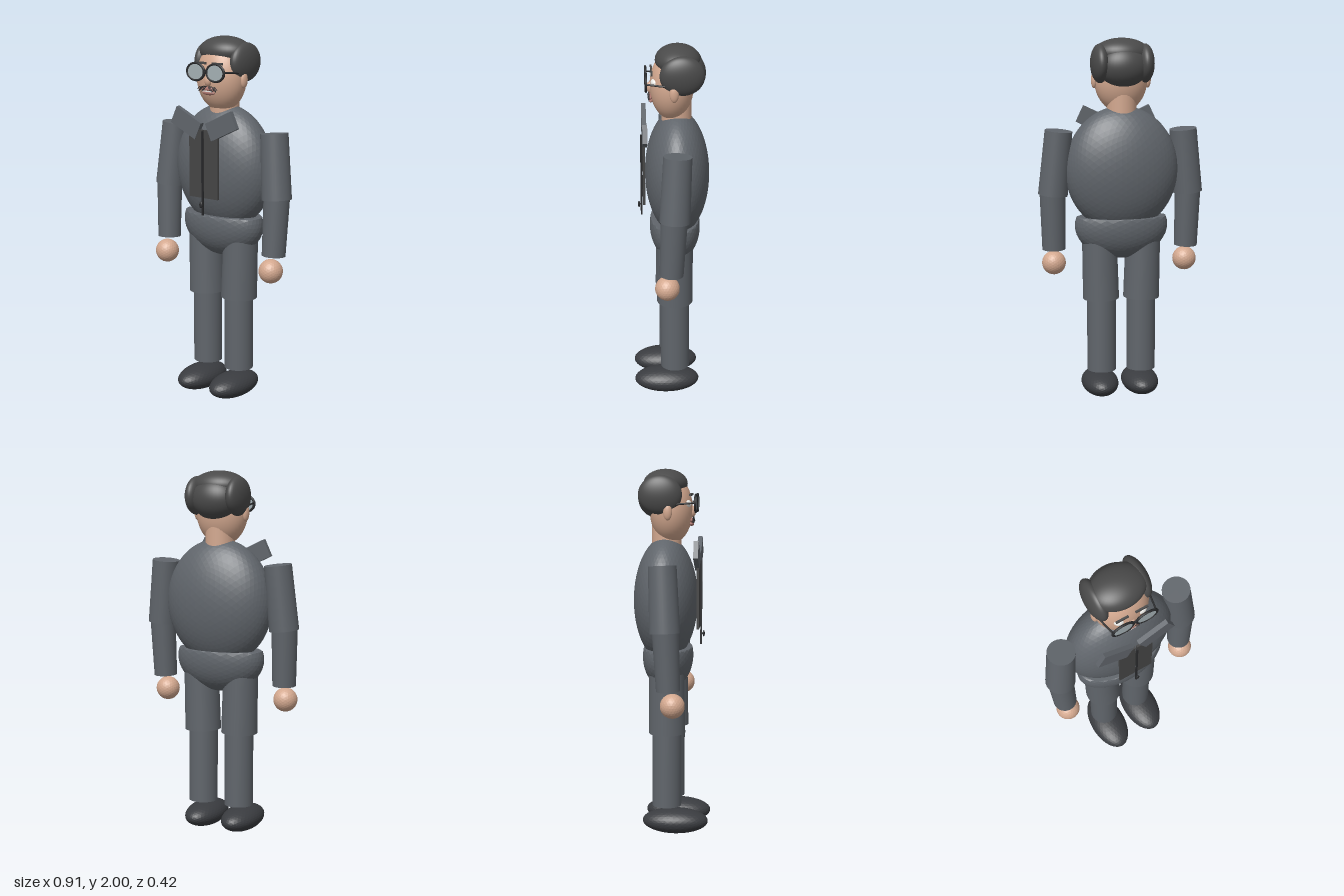
import * as THREE from 'three';

const material = (color, opts = {}) => new THREE.MeshStandardMaterial({ color, ...opts });

export function createModel() {
  const model = new THREE.Group();
  model.name = 'figure';

  const suit = material(0x60656b);
  const suitFacet = material(0x60656b, { flatShading: true });
  const skin = material(0xd3a88f);
  const skinFacet = material(0xd3a88f, { flatShading: true });
  const hair = material(0x4a4a4a);
  const shoe = material(0x3a3c40, { flatShading: true });
  const shirt = material(0x454545);
  const dark = material(0x2a2b2d);
  const glass = material(0xa4b0b4);
  const white = material(0xe8e8e4);
  const lip = material(0xa8746c);

  function add(name, geometry, mat, x = 0, y = 0, z = 0, parent = model) {
    const mesh = new THREE.Mesh(geometry, mat);
    mesh.name = name;
    mesh.position.set(x, y, z);
    parent.add(mesh);
    return mesh;
  }

  // Smooth ellipsoid: centre c, radii r
  const ellipsoid = (name, mat, c, r) =>
    add(name, new THREE.SphereGeometry(1, 40, 28).scale(...r), mat, ...c);

  // Faceted ellipsoid
  const faceted = (name, mat, c, r, detail) =>
    add(name, new THREE.IcosahedronGeometry(1, detail).scale(...r), mat, ...c);

  // Tapered cylinder running from a down to b
  function limb(name, mat, a, b, rTop, rBottom, sides = 32) {
    const top = new THREE.Vector3(...a), bottom = new THREE.Vector3(...b);
    const axis = top.clone().sub(bottom);
    const mesh = add(name, new THREE.CylinderGeometry(rTop, rBottom, axis.length(), sides), mat);
    mesh.position.copy(top).add(bottom).multiplyScalar(0.5);
    mesh.quaternion.setFromUnitVectors(new THREE.Vector3(0, 1, 0), axis.normalize());
    return mesh;
  }

  // Torso and hips; the hips are an ellipsoid with a flat waistline
  faceted('torso', suitFacet, [0, 1.29, -0.034], [0.31, 0.345, 0.174], 10);
  const hipGeo = new THREE.IcosahedronGeometry(1, 7).scale(0.257, 0.185, 0.138);
  const hp = hipGeo.attributes.position;
  for (let i = 0; i < hp.count; i++) hp.setY(i, Math.min(hp.getY(i), 0.05));
  hipGeo.computeVertexNormals();
  add('hips', hipGeo, suitFacet, 0, 0.98, -0.022);

  // Jacket front, zip and collar
  for (const s of [-1, 1]) {
    add('jacketPanel', new THREE.BoxGeometry(0.094, 0.37, 0.012), shirt, s * 0.051, 1.325, 0.147);
    const collar = add('collar', new THREE.BoxGeometry(0.187, 0.1, 0.026), suit, s * 0.12, 1.54, 0.143);
    collar.rotation.z = s * 0.44;
  }
  add('zip', new THREE.BoxGeometry(0.009, 0.46, 0.01), dark, 0, 1.275, 0.16);
  ellipsoid('zipPull', dark, [0, 1.105, 0.174], [0.011, 0.018, 0.006]);
  limb('zipPin', dark, [0, 1.105, 0.176], [0, 1.105, 0.155], 0.004, 0.004, 10);

  // Arms, legs, hands and shoes
  for (const s of [-1, 1]) {
    limb('upperArm', suit, [s * 0.343, 1.505, -0.022], [s * 0.375, 1.155, -0.006], 0.075, 0.081);
    limb('forearm', suit, [s * 0.377, 1.18, -0.004], [s * 0.37, 0.85, 0.011], 0.071, 0.064);
    faceted('hand', skinFacet, [s * 0.368, 0.768, 0.033], [0.066, 0.066, 0.066], 4);
    limb('thigh', suit, [s * 0.123, 0.96, -0.02], [s * 0.113, 0.57, -0.018], 0.095, 0.1);
    limb('shin', suit, [s * 0.111, 0.6, -0.018], [s * 0.111, 0.16, -0.02], 0.08, 0.08);
    faceted('shoe', shoe, [s * 0.114, 0.072, 0.027], [0.102, 0.069, 0.181], 6);
  }

  // Head, neck, ears and nose
  limb('neck', skin, [0, 1.72, -0.03], [0, 1.56, -0.03], 0.08, 0.08);
  ellipsoid('head', skin, [0, 1.782, -0.005], [0.146, 0.185, 0.117]);
  ellipsoid('nose', skin, [0, 1.772, 0.108], [0.022, 0.032, 0.022]);

  // Hair: crown, back and two side lobes
  ellipsoid('crownHair', hair, [0, 1.92, -0.036], [0.152, 0.08, 0.12]);
  ellipsoid('backHair', hair, [0, 1.85, -0.085], [0.135, 0.112, 0.1]);
  for (const s of [-1, 1]) {
    ellipsoid('sideHair', hair, [s * 0.122, 1.865, -0.055], [0.05, 0.105, 0.118]);
    ellipsoid('ear', skin, [s * 0.147, 1.775, -0.012], [0.017, 0.045, 0.024]);
    ellipsoid('eye', white, [s * 0.062, 1.815, 0.084], [0.03, 0.022, 0.025]);
    add('eyebrow', new THREE.BoxGeometry(0.07, 0.012, 0.01), hair, s * 0.055, 1.862, 0.103);
  }

  // Glasses
  const glasses = new THREE.Group();
  glasses.name = 'glasses';
  model.add(glasses);
  for (const s of [-1, 1]) {
    const rim = new THREE.TorusGeometry(0.058, 0.008, 10, 40).scale(1, 0.79, 0.8);
    add('rim', rim, dark, s * 0.067, 1.817, 0.133, glasses);
    const lens = new THREE.CylinderGeometry(0.056, 0.056, 0.006, 36).rotateX(Math.PI / 2).scale(1, 0.79, 1);
    add('lens', lens, glass, s * 0.067, 1.817, 0.133, glasses);
    const temple = limb('temple', dark, [s * 0.122, 1.822, 0.13], [s * 0.149, 1.81, -0.015], 0.005, 0.005, 10);
    glasses.add(temple);
  }
  add('bridge', new THREE.BoxGeometry(0.03, 0.009, 0.01), dark, 0, 1.828, 0.134, glasses);

  // Mouth and moustache of fine bristles
  ellipsoid('upperLip', lip, [0, 1.725, 0.109], [0.052, 0.014, 0.013]);
  ellipsoid('lowerLip', lip, [0, 1.705, 0.106], [0.042, 0.012, 0.013]);
  add('teeth', new THREE.BoxGeometry(0.06, 0.006, 0.01), white, 0, 1.715, 0.116);
  for (const s of [-1, 1]) {
    for (let i = 0; i < 7; i++) {
      const x = 0.004 + i * 0.008;
      limb('bristle', dark, [s * x, 1.744 - i * 0.001, 0.116],
        [s * (x + 0.016), 1.722 - (i % 3) * 0.005, 0.123 - i * 0.001], 0.0022, 0.0018, 6);
    }
  }
  return model;
}
